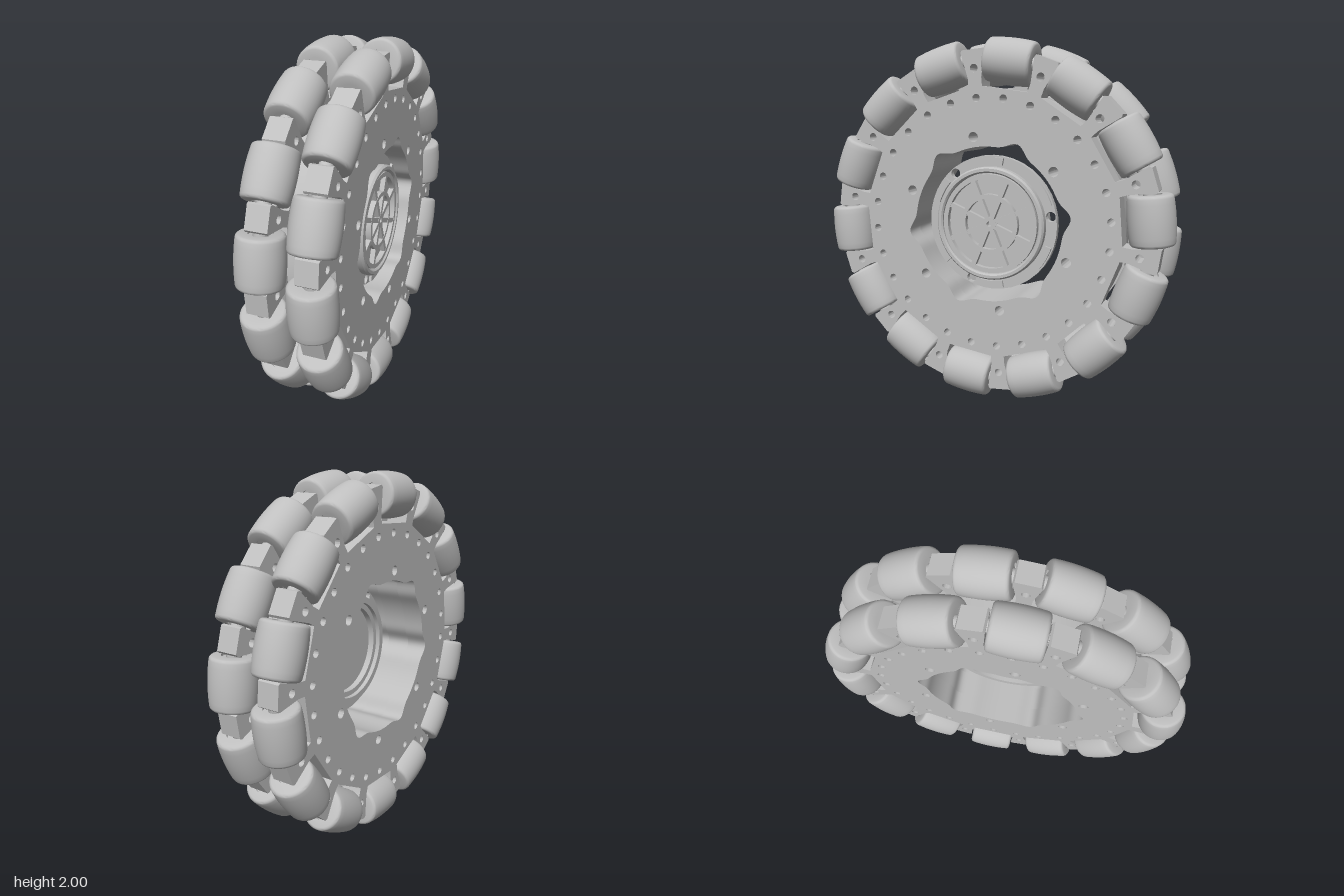
import * as THREE from 'three';
import { toCreasedNormals } from 'three/addons/utils/BufferGeometryUtils.js';

const COUNT = 14, STEP = Math.PI * 2 / COUNT;
const deg = d => d * Math.PI / 180;
const TAB = deg(-4.8);

// Point at a clockwise angle from straight up
const polar = (a, r) => new THREE.Vector2(Math.sin(a) * r, Math.cos(a) * r);

function circle(a, r, radius) {
  const c = polar(a, r);
  return new THREE.Path().absarc(c.x, c.y, radius, 0, Math.PI * 2);
}

// Six-lobed bore and the rings of bolt holes, shared by all the discs
function addHoles(shape) {
  const bore = [];
  for (let i = 0; i < 180; i++) {
    const a = -i / 180 * Math.PI * 2; // counter-clockwise, like the round holes
    const lobe = Math.pow((1 + Math.cos(6 * (a - deg(22)))) / 2, 6);
    bore.push(polar(a, 0.427 + 0.048 * lobe));
  }
  shape.holes.push(new THREE.Path(bore));
  for (let i = 0; i < 28; i++) shape.holes.push(circle(TAB + i * STEP / 2, 0.685, 0.021));
  for (let i = 0; i < 6; i++) shape.holes.push(circle(deg(-9 + 60 * i), 0.482, 0.027));
  return shape;
}

function discShape(r) {
  return addHoles(new THREE.Shape().absarc(0, 0, r, 0, Math.PI * 2));
}

// Disc with a drilled wedge-shaped bracket between each pair of rollers
function bracketShape(offset) {
  const pts = [];
  const tab = [[-0.039, 0.744], [-0.039, 0.79], [-0.069, 0.925], [-0.061, 0.938],
    [0.061, 0.938], [0.069, 0.925], [0.039, 0.79], [0.039, 0.744]];
  for (let i = 0; i < COUNT; i++) {
    for (const [x, y] of tab) {
      pts.push(new THREE.Vector2(x, y).rotateAround(new THREE.Vector2(), -(offset + i * STEP)));
    }
  }
  const shape = addHoles(new THREE.Shape(pts));
  for (let i = 0; i < COUNT; i++) shape.holes.push(circle(offset + i * STEP, 0.84, 0.022));
  return shape;
}

function extrude(shape, z0, z1) {
  const g = new THREE.ExtrudeGeometry(shape, { depth: z1 - z0, bevelEnabled: false, curveSegments: 20 });
  g.translate(0, 0, z0);
  return toCreasedNormals(g, deg(30));
}

// Profile is a list of [radius, position along the axle]
function lathe(profile, segments) {
  const g = new THREE.LatheGeometry(profile.map(p => new THREE.Vector2(p[0], p[1])), segments);
  return toCreasedNormals(g, deg(32));
}

export function createModel() {
  const grey = new THREE.MeshStandardMaterial({ color: 0xbfbfbf });
  const model = new THREE.Group();
  const wheel = new THREE.Group();
  wheel.name = 'wheel';
  wheel.position.y = 1;
  wheel.rotation.y = Math.PI / 2; // local z becomes the axle along x
  model.add(wheel);

  const add = (name, geometry, parent = wheel) => {
    const m = new THREE.Mesh(geometry, grey);
    m.name = name;
    parent.add(m);
    return m;
  };

  // Barrel roller whose profile follows the rim circle
  const C = 0.877, H = 0.131;
  const barrel = [[0.035, -H + 0.012], [0.06, -H + 0.012], [0.06, -H], [0.1, -H], [0.108, -H + 0.003], [0.114, -H + 0.009]];
  for (let i = -4; i <= 4; i++) {
    const t = i * 0.0285;
    barrel.push([Math.sqrt(1 - t * t) - C, t]);
  }
  barrel.push([0.114, H - 0.009], [0.108, H - 0.003], [0.1, H], [0.06, H], [0.06, H - 0.012], [0.035, H - 0.012]);
  const rollerGeo = lathe(barrel, 40);
  const axleGeo = new THREE.CylinderGeometry(0.036, 0.036, 0.3, 20);

  // Two rows, staggered by half a roller
  for (const side of [1, -1]) {
    const row = new THREE.Group();
    row.name = side > 0 ? 'leftRow' : 'rightRow';
    wheel.add(row);
    const offset = TAB + (side > 0 ? 0 : STEP / 2);
    add('bracketDisc', extrude(bracketShape(offset), side > 0 ? 0.07 : -0.188, side > 0 ? 0.188 : -0.07), row);
    for (let i = 0; i < COUNT; i++) {
      const a = offset + (i + 0.5) * STEP, p = polar(a, C);
      for (const [name, geo] of [['roller', rollerGeo], ['rollerAxle', axleGeo]]) {
        const m = add(name, geo, row);
        m.position.set(p.x, p.y, side * 0.13);
        m.rotation.z = Math.PI / 2 - a;
      }
    }
  }

  // Spacer drum joining the rows
  add('spacerDrum', extrude(discShape(0.732), -0.07, 0.07));

  // Hub flange with three bolt holes
  const hub = new THREE.Group();
  hub.name = 'hub';
  wheel.add(hub);
  const flange = new THREE.Shape().absarc(0, 0, 0.376, 0, Math.PI * 2);
  flange.holes.push(new THREE.Path().absarc(0, 0, 0.29, 0, Math.PI * 2));
  for (let i = 0; i < 3; i++) flange.holes.push(circle(deg(-39 + 120 * i), 0.345, 0.027));
  add('hubFlange', extrude(flange, 0.075, 0.11), hub);

  // Raised pads around the flange
  for (let i = 0; i < 6; i++) {
    const mid = deg(90 + 60 * i), s = new THREE.Shape();
    s.absarc(0, 0, 0.367, mid - 0.2, mid + 0.2, false);
    s.absarc(0, 0, 0.328, mid + 0.2, mid - 0.2, true);
    add('flangePad', extrude(s, 0.11, 0.125), hub);
  }

  // Hub cup: raised rim, recessed face and stepped hollow back
  const cup = lathe([[0, 0.085], [0.25, 0.085], [0.25, 0.05], [0.28, 0.05], [0.28, 0.025], [0.315, 0.025],
    [0.315, 0.147], [0.306, 0.159], [0.29, 0.159], [0.282, 0.15], [0.282, 0.122], [0, 0.122]], 72);
  cup.rotateX(Math.PI / 2);
  add('hubCup', cup, hub);

  // Grille of rings and spokes on the hub face
  for (const [r0, r1] of [[0.25, 0.276], [0.142, 0.166], [0.014, 0.038]]) {
    const s = new THREE.Shape().absarc(0, 0, r1, 0, Math.PI * 2);
    s.holes.push(new THREE.Path().absarc(0, 0, r0, 0, Math.PI * 2));
    add('grilleRing', extrude(s, 0.119, 0.152), hub);
  }
  for (let i = 0; i < 8; i++) {
    const a = deg(22.5 + 45 * i), p = polar(a, 0.147);
    const spoke = add('grilleSpoke', new THREE.BoxGeometry(0.027, 0.235, 0.03), hub);
    spoke.position.set(p.x, p.y, 0.135);
    spoke.rotation.z = -a;
  }
  return model;
}
